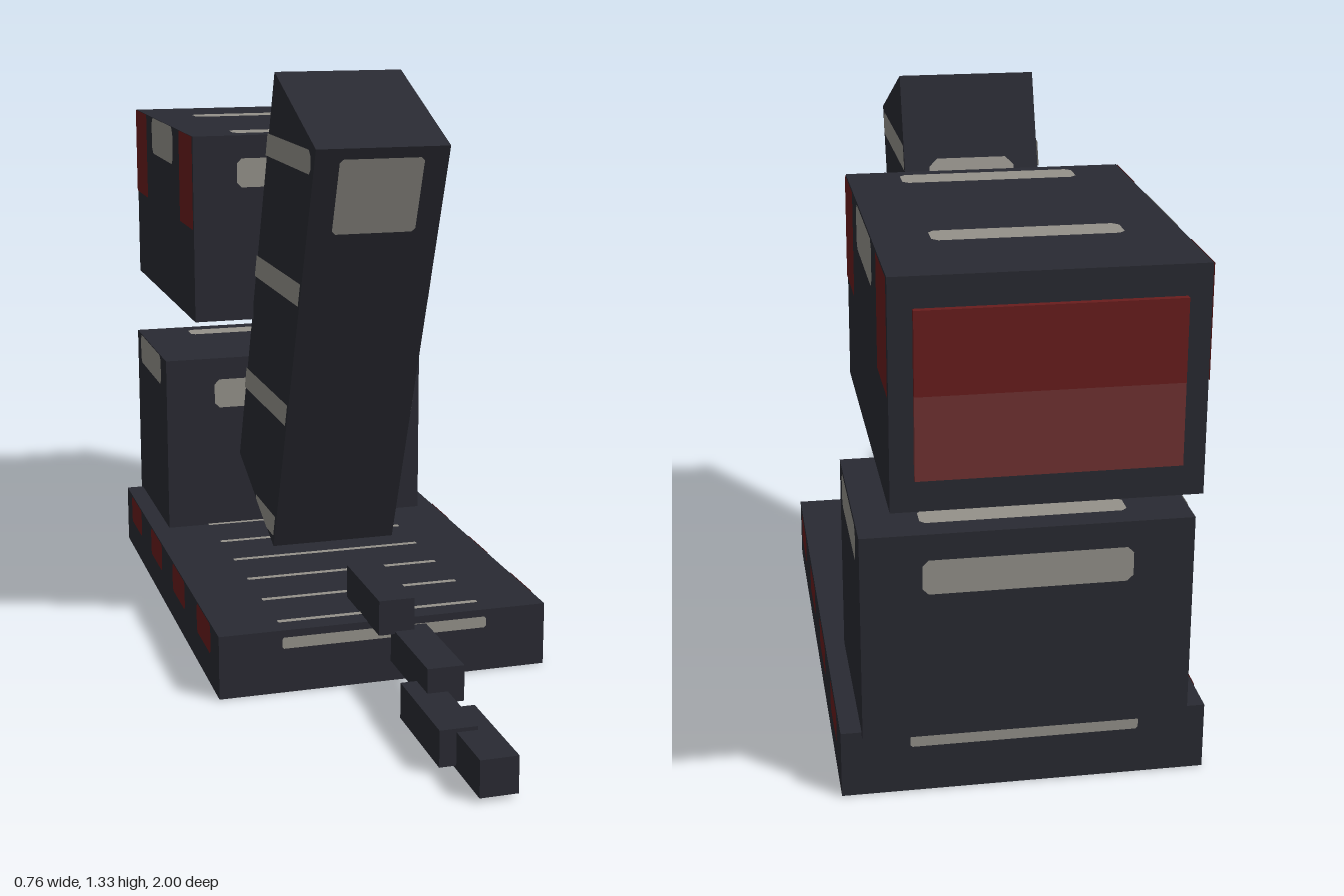
import * as THREE from 'three';

const material = (name, color) => {
  const m = new THREE.MeshStandardMaterial({ color, side: THREE.DoubleSide });
  m.name = name;
  return m;
};

// Rotation that turns a flat panel towards each side of a box
const FACING = {
  front: [0, 0, 0], back: [0, Math.PI, 0],
  left: [0, Math.PI / 2, 0], right: [0, -Math.PI / 2, 0],
  top: [-Math.PI / 2, 0, 0], bottom: [Math.PI / 2, 0, 0],
};

export function createModel() {
  const model = new THREE.Group();
  const dark = material('charcoal', 0x292a32);
  const grey = material('warm grey', 0x94918a);
  const red = material('deep red', 0x691d1d);
  const paleRed = material('dusty red', 0x703232);

  function add(parent, name, geometry, mat) {
    const mesh = new THREE.Mesh(geometry, mat);
    mesh.name = name;
    parent.add(mesh);
    return mesh;
  }

  // Box given by its limits on each axis
  function block(name, [x0, x1], [y0, y1], [z0, z1], mat = dark) {
    const mesh = add(model, name, new THREE.BoxGeometry(x1 - x0, y1 - y0, z1 - z0), mat);
    mesh.position.set((x0 + x1) / 2, (y0 + y1) / 2, (z0 + z1) / 2);
  }

  // Flat marking with clipped corners; c may be 0 for a plain rectangle
  function panel(parent, name, side, x, y, z, w, h, mat = grey, c = Math.min(w, h) * 0.17) {
    const a = w / 2, b = h / 2;
    const points = [[-a + c, -b], [a - c, -b], [a, -b + c], [a, b - c],
      [a - c, b], [-a + c, b], [-a, b - c], [-a, -b + c]];
    const shape = new THREE.Shape(points.map(p => new THREE.Vector2(...p)));
    const mesh = add(parent, name, new THREE.ShapeGeometry(shape), mat);
    mesh.rotation.set(...FACING[side]);
    mesh.position.set(x, y, z);
  }

  const e = 0.002; // how far markings stand off the surface

  // Base slab
  block('base', [-0.38, 0.38], [0, 0.145], [-0.785, 0.382]);
  panel(model, 'baseFrontStripe', 'front', 0, 0.116, 0.382 + e, 0.476, 0.026);
  panel(model, 'baseBackStripe', 'back', 0, 0.116, -0.785 - e, 0.476, 0.026);
  for (let i = 0; i < 8; i++) {
    const z = 0.33 - i * 0.145;
    panel(model, 'baseTopLine', 'top', 0, 0.145 + e, z, 0.47, 0.015);
    panel(model, 'baseBottomLine', 'bottom', 0, -e / 2, z, 0.47, 0.015);
  }
  for (let i = 0; i < 4; i++) {
    const z = 0.23 - i * 0.287;
    panel(model, 'baseLeftMark', 'left', 0.38 + e, 0.11, z, 0.148, 0.07, red, 0.008);
    panel(model, 'baseRightMark', 'right', -0.38 - e, 0.11, z, 0.148, 0.07, red, 0.008);
  }

  // Rear body
  block('rearBody', [-0.337, 0.337], [0.137, 0.585], [-0.805, -0.4]);
  panel(model, 'rearBodyFrontPatch', 'front', 0, 0.493, -0.4 + e, 0.426, 0.074);
  panel(model, 'rearBodyBackPatch', 'back', 0, 0.493, -0.805 - e, 0.426, 0.074);
  panel(model, 'rearBodyTopPatch', 'top', 0, 0.585 + e, -0.725, 0.42, 0.06);
  panel(model, 'rearBodyLeftPatch', 'left', 0.337 + e, 0.547, -0.607, 0.285, 0.076);
  panel(model, 'rearBodyRightPatch', 'right', -0.337 - e, 0.547, -0.607, 0.285, 0.076);

  // Upper box and its back window
  block('head', [-0.295, 0.295], [0.718, 1.168], [-0.987, -0.225]);
  panel(model, 'headFrontPatch', 'front', 0, 1.078, -0.225 + e, 0.376, 0.07);
  for (const z of [-0.74, -0.295]) {
    panel(model, 'headTopStripe', 'top', 0, 1.168 + e, z, 0.37, 0.069);
    panel(model, 'headBottomStripe', 'bottom', 0, 0.718 - e, z, 0.37, 0.069);
  }
  for (const [side, x] of [['left', 0.295 + e], ['right', -0.295 - e]]) {
    panel(model, side + 'HeadPatch', side, x, 1.121, -0.607, 0.285, 0.094);
    for (const z of [-0.305, -0.907])
      panel(model, side + 'HeadCorner', side, x, 1.056, z, 0.16, 0.224, red, 0);
  }
  block('backWindowUpper', [-0.25, 0.25], [0.946, 1.108], [-1, -0.987], red);
  block('backWindowLower', [-0.25, 0.25], [0.783, 0.946], [-1, -0.987], paleRed);

  // Short neck joining the leaning column to the upper box
  block('neck', [-0.08, 0.08], [0.53, 0.75], [-0.37, -0.23]);
  for (const y of [0.555, 0.662])
    for (const [side, x] of [['left', 0.08 + e], ['right', -0.08 - e]])
      panel(model, 'neckStripe', side, x, y, -0.3, 0.14, 0.022, grey, 0);

  // Leaning column
  const column = new THREE.Group();
  column.name = 'column';
  column.position.set(0, 0.763, -0.02);
  column.rotation.x = 0.377;
  model.add(column);
  add(column, 'columnBody', new THREE.BoxGeometry(0.3, 1.075, 0.377), dark);
  panel(column, 'columnFrontPatch', 'front', 0, 0.421, 0.1885 + e, 0.19, 0.183, grey, 0.008);
  panel(column, 'columnBackPatch', 'back', 0, 0.254, -0.1885 - e, 0.19, 0.19, grey, 0.018);

  // Level bands across the column sides, as [z, y] corners
  const bands = [
    [[0.303, 1.135], [-0.08, 1.135], [-0.06, 1.188], [0.303, 1.188], [0.318, 1.175], [0.318, 1.148]],
    [[0.205, 0.83], [-0.2, 0.83], [-0.178, 0.884], [0.226, 0.884]],
    [[0.084, 0.526], [-0.32, 0.526], [-0.299, 0.58], [0.105, 0.58]],
    [[-0.037, 0.222], [-0.105, 0.222], [-0.212, 0.264], [-0.212, 0.275], [-0.017, 0.275]],
  ];
  for (const corners of bands) {
    const shape = new THREE.Shape(corners.map(p => new THREE.Vector2(...p)));
    for (const x of [-0.15 - e, 0.15 + e]) {
      const band = add(model, 'columnBand', new THREE.ShapeGeometry(shape), grey);
      band.rotation.y = -Math.PI / 2;
      band.position.x = x;
    }
  }

  // Staggered chain of links at the front
  const links = [
    [-0.041, 0.143, 0.215], [-0.005, 0.07, 0.437],
    [-0.041, 0.016, 0.617], [-0.005, 0.008, 0.75],
  ];
  for (const [x, y, z] of links)
    block('chainLink', [x, x + 0.081], [y, y + 0.079], [z, z + 0.25]);

  return model;
}
